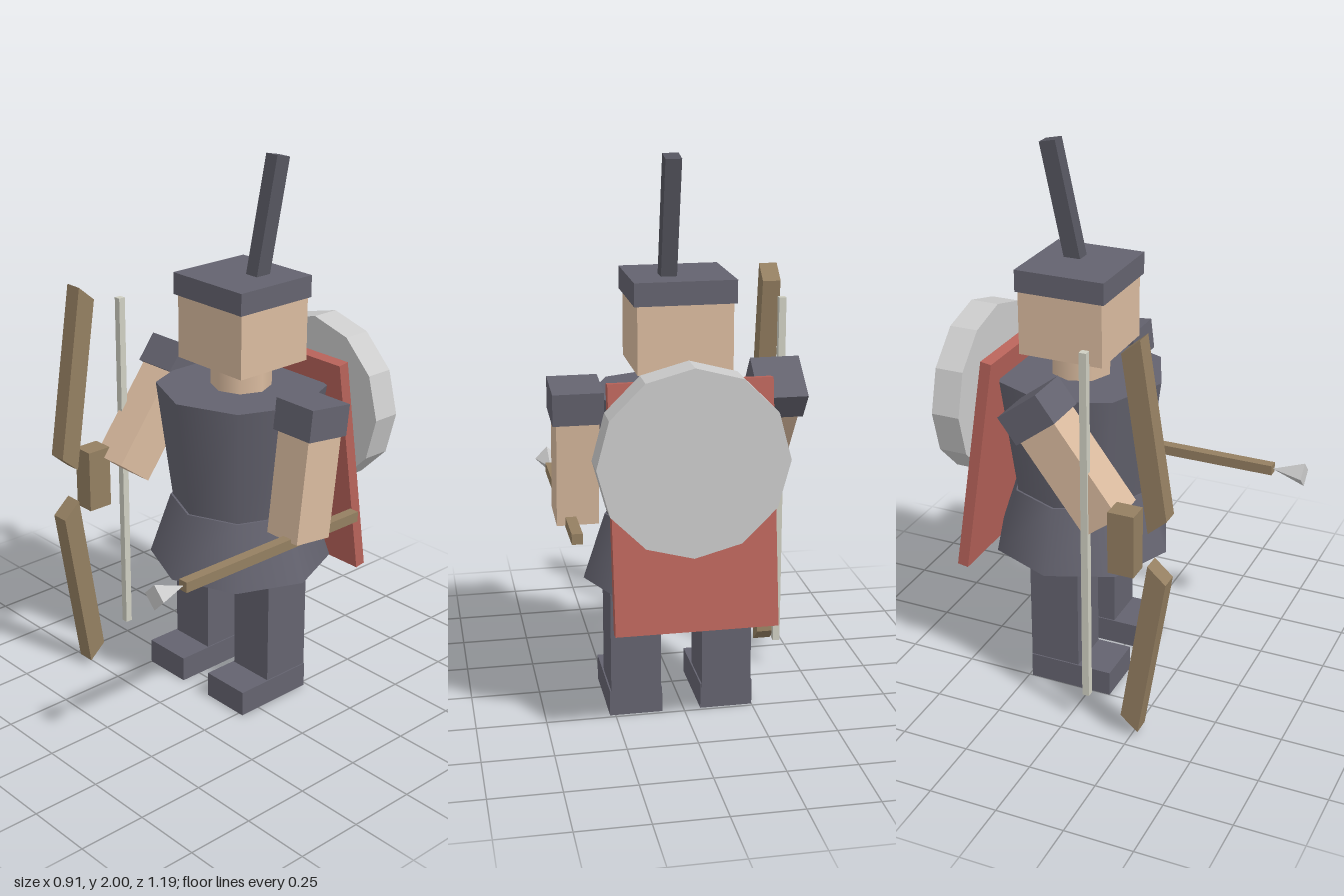
import * as THREE from 'three';

const mat = (color, flatShading = true) =>
  new THREE.MeshStandardMaterial({ color, flatShading });
const armor = mat(0x64636f);
const armorSmooth = mat(0x64636f, false);
const dark = mat(0x55555f);
const skin = mat(0xdabb9f);
const skinSmooth = mat(0xdabb9f, false);
const red = mat(0xb8635a);
const wood = mat(0x947f61);
const steel = mat(0xc6caca);
const cord = mat(0xcfcfc2);

const CX = 0.01, CZ = -0.142; // body axis

export function createModel() {
  const model = new THREE.Group();
  model.name = 'archer';

  const add = (name, geometry, material, x = 0, y = 0, z = 0, rx = 0, parent = model) => {
    const mesh = new THREE.Mesh(geometry, material);
    mesh.name = name;
    mesh.position.set(x, y, z);
    mesh.rotation.x = rx;
    parent.add(mesh);
    return mesh;
  };
  const box = (name, w, h, d, material, ...rest) =>
    add(name, new THREE.BoxGeometry(w, h, d), material, ...rest);

  // Legs and boots
  for (const [side, s] of [['left', 1], ['right', -1]]) {
    const x = CX + s * 0.165;
    box(side + 'Leg', 0.18, 0.52, 0.19, armor, x, 0.34, -0.143);
    box(side + 'Boot', 0.19, 0.095, 0.318, armor, x, 0.0475, -0.078);
  }

  // Eight-sided skirt and torso, round neck
  add('skirt', new THREE.CylinderGeometry(0.258, 0.336, 0.235, 8), armorSmooth, CX, 0.6175, CZ);
  add('torso', new THREE.CylinderGeometry(0.308, 0.25, 0.44, 8), armorSmooth, CX, 0.955, CZ);
  add('neck', new THREE.CylinderGeometry(0.11, 0.11, 0.12, 8), skinSmooth, CX, 1.22, CZ);

  // Head, hat and plume
  box('head', 0.328, 0.24, 0.318, skin, CX, 1.39, -0.147);
  box('hat', 0.35, 0.08, 0.336, armor, CX, 1.545, -0.144);
  box('plume', 0.055, 0.45, 0.062, dark, 0.05, 1.772, -0.222, -0.215);

  // Arms hang from the shoulders and swing forward
  const arm = (side, x, y, swing, length) => {
    const group = new THREE.Group();
    group.name = side + 'Arm';
    group.position.set(x, y, CZ);
    group.rotation.x = -swing;
    model.add(group);
    box(side + 'ShoulderPad', 0.176, 0.115, 0.182, armor, 0, 0, 0, 0, group);
    box(side + 'Forearm', 0.148, length, 0.16, skin, 0, -length / 2, 0, 0, group);
  };
  arm('left', 0.366, 1.153, 0.12, 0.438);
  arm('right', -0.347, 1.165, 0.65, 0.447);

  // Cape, with a shield mounted behind it
  box('cape', 0.56, 0.85, 0.042, red, CX, 0.847, -0.442, 0.153);
  add('shieldMount', new THREE.CylinderGeometry(0.09, 0.09, 0.05, 8), red,
    0.034, 1.035, -0.475, Math.PI / 2);
  add('shield', new THREE.CylinderGeometry(0.321, 0.321, 0.108, 12), steel,
    0.036, 1.04, -0.541, Math.PI / 2);

  // Spear
  box('spearShaft', 0.038, 0.038, 0.82, wood, 0.391, 0.722, 0.06);
  add('spearTip', new THREE.ConeGeometry(0.047, 0.125, 4), steel, 0.391, 0.722, 0.53, -Math.PI / 2);

  // Bow: grip, two slanted limbs mirrored about the grip, string
  const bow = new THREE.Group();
  bow.name = 'bow';
  bow.position.set(-0.414, 0.777, 0);
  model.add(bow);
  box('bowGrip', 0.08, 0.234, 0.096, wood, 0, 0, 0.213, 0, bow);
  for (const [name, s] of [['upperLimb', 1], ['lowerLimb', -1]]) {
    const outline = [[0.277, 0.753], [0.212, 0.697], [0.309, 0.063], [0.376, 0.122]];
    const shape = new THREE.Shape(outline.map(([z, y]) => new THREE.Vector2(z, s * y)));
    const limb = new THREE.ExtrudeGeometry(shape, { depth: 0.067, bevelEnabled: false });
    limb.rotateY(-Math.PI / 2).translate(0.0335, 0, 0);
    add(name, limb, wood, 0, 0, 0, 0, bow);
  }
  box('bowString', 0.026, 1.333, 0.026, cord, -0.002, 0, 0.067, 0, bow);

  return model;
}
